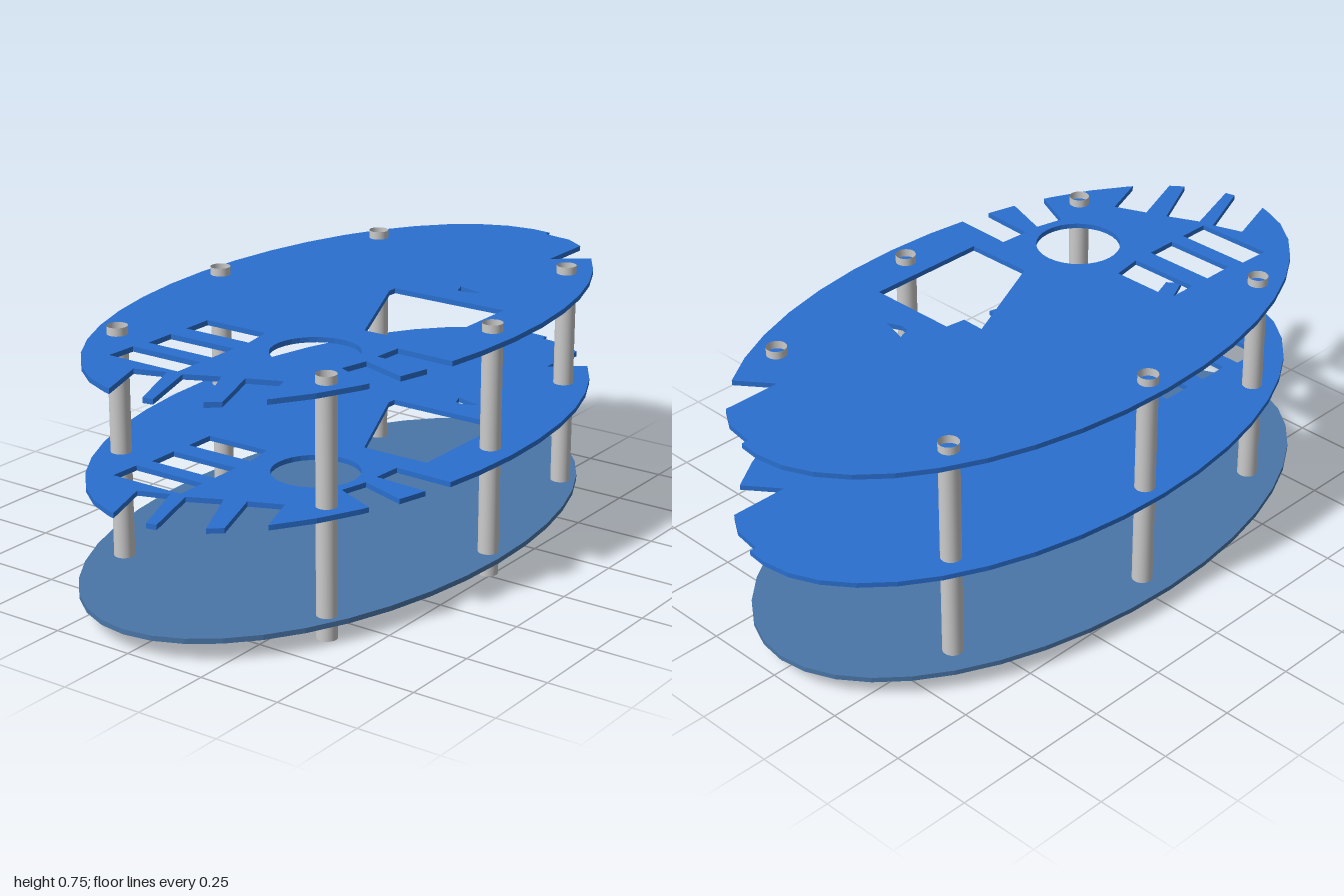
import * as THREE from 'three';

const RX = 0.552, RZ = 0.992, THICK = 0.015, STEP = Math.PI / 20;

// Notches cut into the rim, in order around it: outer start, inner corners, outer end (x, z)
const NOTCHES = [
  [[0.54, 0.27], [0.36, 0.265], [0.355, 0.355], [0.523, 0.365]],
  [[0.5, 0.455], [0.355, 0.405], [0.335, 0.49], [0.467, 0.55]],
  [[0.327, 0.805], [0.275, 0.665], [0.18, 0.705], [0.247, 0.885]],
  [[0.21, 0.917], [0.12, 0.73], [0.025, 0.775], [0.09, 0.97]],
  [[0.06, 0.978], [-0.02, 0.785], [-0.11, 0.815], [-0.055, 0.978]],
  [[0.075, -0.99], [0.075, -0.972], [0.17, -0.957], [0.235, -0.915], [0.235, -0.735], [0.335, -0.81]],
];

// Openings inside the plate
const HOLES = [
  [[0.03, -0.2], [0.405, -0.2], [0.405, 0.185], [0.193, 0.185], [0.03, -0.17]],
  [[-0.22, 0.365], [-0.016, 0.365], [0, 0.46], [-0.22, 0.46]],
  [[-0.222, 0.525], [0, 0.525], [0, 0.62], [-0.222, 0.62]],
  [[-0.235, 0.67], [0, 0.67], [0, 0.765], [-0.238, 0.765]],
  [[0.175, -0.33], [0.26, -0.305], [0.215, -0.285], [0.19, -0.29]],
];

// Ellipse outline with the given notches taken out of it
function outline(cx, cz, notches) {
  const at = (t) => new THREE.Vector2(cx + RX * Math.cos(t), cz + RZ * Math.sin(t));
  const angle = ([x, z]) => {
    const t = Math.atan2((z - cz) / RZ, (x - cx) / RX);
    return t < 0 ? t + Math.PI * 2 : t;
  };
  const points = [];
  let t = 0;
  const arcTo = (end) => {
    points.push(at(t));
    for (let k = Math.floor(t / STEP) + 1; k * STEP < end - 0.01; k++) {
      if (k * STEP > t + 0.01) points.push(at(k * STEP));
    }
  };
  for (const notch of notches) {
    const end = angle(notch[0]);
    arcTo(end);
    points.push(at(end));
    notch.slice(1, -1).forEach(([x, z]) => points.push(new THREE.Vector2(x, z)));
    t = angle(notch[notch.length - 1]);
  }
  arcTo(Math.PI * 2);
  return points;
}

// Flat plate whose underside lies at height y
function plate(name, y, cx, cz, color, cut) {
  const shape = new THREE.Shape(outline(cx, cz, cut ? NOTCHES : []));
  if (cut) {
    for (const hole of HOLES) {
      shape.holes.push(new THREE.Path(hole.map(([x, z]) => new THREE.Vector2(x, z))));
    }
    shape.holes.push(new THREE.Path().absarc(0.193, 0.415, 0.126, 0, Math.PI * 2, true));
  }
  const geometry = new THREE.ExtrudeGeometry(shape, { depth: THICK, bevelEnabled: false, curveSegments: 16 });
  geometry.rotateX(Math.PI / 2).translate(0, y + THICK, 0);
  const mesh = new THREE.Mesh(geometry, new THREE.MeshStandardMaterial({ color }));
  mesh.name = name;
  return mesh;
}

export function createModel() {
  const model = new THREE.Group();
  model.name = 'tieredPlatform';

  // Solid base and two identical cut-out decks
  model.add(plate('basePlate', 0.052, -0.014, 0.008, 0x4a76a8, false));
  model.add(plate('middlePlate', 0.367, 0.011, -0.008, 0x2a6fcf, true));
  model.add(plate('topPlate', 0.713, 0.011, -0.008, 0x2a6fcf, true));

  // Open tubular posts through all three plates
  const tube = new THREE.CylinderGeometry(0.03, 0.03, 0.752, 24, 1, true);
  const grey = new THREE.MeshStandardMaterial({ color: 0xcccccc, side: THREE.DoubleSide });
  const posts = [
    [-0.332, -0.633], [0.354, -0.633],
    [-0.48, -0.02], [0.483, -0.02],
    [-0.345, 0.607], [0.37, 0.607],
  ];
  posts.forEach(([x, z], i) => {
    const post = new THREE.Mesh(tube, grey);
    post.name = `post${i + 1}`;
    post.position.set(x, 0.376, z);
    model.add(post);
  });
  return model;
}
